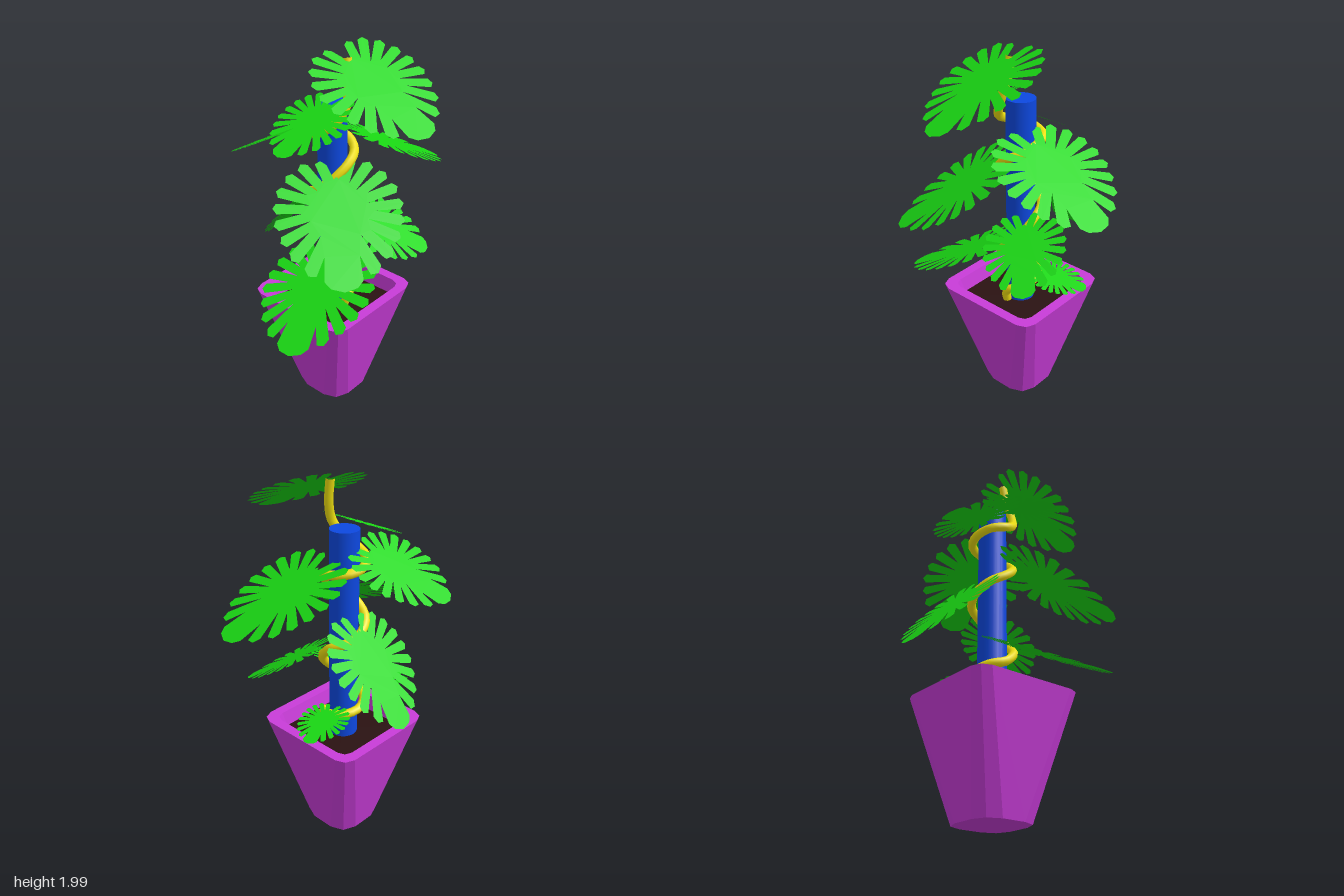
import * as THREE from 'three';

const CX = -0.055, CZ = 0.02; // axis of pot and pole
const mat = (color, extra = {}) => new THREE.MeshStandardMaterial({ color, ...extra });

function add(parent, name, geometry, material) {
  const mesh = new THREE.Mesh(geometry, material);
  mesh.name = name;
  parent.add(mesh);
  return mesh;
}

// Square ring with rounded corners: half width h, corner cut c
function squareRing(y, h, c) {
  const ring = [];
  const corner = [[h, h - c], [h - 0.29 * c, h - 0.29 * c], [h - c, h]];
  for (let k = 0; k < 4; k++) {
    for (const [x, z] of corner) {
      const [rx, rz] = [[x, z], [-z, x], [-x, -z], [z, -x]][k];
      ring.push([rx, y, rz]);
    }
  }
  return ring;
}

// Faceted skin over successive rings
function loft(rings) {
  const pos = [];
  for (let j = 0; j < rings.length - 1; j++) {
    const a = rings[j], b = rings[j + 1], n = a.length;
    for (let i = 0; i < n; i++) {
      const k = (i + 1) % n;
      pos.push(...a[i], ...b[i], ...b[k], ...a[i], ...b[k], ...a[k]);
    }
  }
  const g = new THREE.BufferGeometry();
  g.setAttribute('position', new THREE.Float32BufferAttribute(pos, 3));
  g.computeVertexNormals();
  return g;
}

// Split heart-shaped leaf, notch at the origin, tip at (0, 1)
function leafGeometry() {
  const envelope = [[0, 0.68], [30, 0.58], [60, 0.52], [90, 0.51], [120, 0.52], [150, 0.52], [172, 0.46], [180, 0.4]];
  const radius = (deg) => {
    const i = Math.max(1, envelope.findIndex(([a]) => a >= deg));
    const [a0, r0] = envelope[i - 1], [a1, r1] = envelope[i];
    return r0 + (r1 - r0) * (deg - a0) / (a1 - a0);
  };
  const point = (deg, k) => {
    const a = THREE.MathUtils.degToRad(deg), r = radius(deg) * k;
    return [Math.sin(a) * r, 0.32 + Math.cos(a) * r];
  };
  const fingers = 10, step = 174 / fingers;
  const side = [[0, 1]];
  for (let i = 0; i < fingers; i++) {
    const a = i * step;
    if (i > 0) side.push(point(a + 0.17 * step, 0.95));
    side.push(point(a + 0.5 * step, 1.01), point(a + 0.8 * step, 0.96));
    // slit between this finger and the next
    if (i < fingers - 1) side.push(point(a + 1.1 * step, i === 0 ? 0.66 : i % 2 ? 0.45 : 0.55));
  }
  const outline = [...side, [0.02, 0.03], [0, 0], [-0.02, 0.03],
    ...side.slice(1).reverse().map(([x, y]) => [-x, y])];
  return new THREE.ShapeGeometry(new THREE.Shape(outline.map(([x, y]) => new THREE.Vector2(x, y))));
}

export function createModel() {
  const model = new THREE.Group();
  model.name = 'pottedClimbingPlant';

  // Tapered pot with a thick rim
  const pot = add(model, 'pot', loft([
    squareRing(0, 0, 0), squareRing(0, 0.165, 0.1), squareRing(0.64, 0.315, 0.07),
    squareRing(0.64, 0.26, 0.05), squareRing(0.54, 0.237, 0.05),
  ]), mat(0xc83cd8, { flatShading: true }));
  pot.position.set(CX, 0, CZ);

  const soil = add(model, 'soil', loft([squareRing(0.56, 0.243, 0.05), squareRing(0.56, 0, 0)]),
    mat(0x2a1212, { flatShading: true }));
  soil.position.set(CX, 0, CZ);

  // Support pole
  const pole = add(model, 'supportPole', new THREE.CylinderGeometry(0.076, 0.076, 1.16, 20), mat(0x0d48e0));
  pole.position.set(CX, 1.13, CZ);

  // Stem winding around the pole: heights at each quarter turn (+x, -z, -x, +z)
  const heights = [0.64, 0.71, 0.74, 0.79, 0.93, 1.1, 1.18, 1.28, 1.42, 1.5, 1.53, 1.58];
  const path = [new THREE.Vector3(0.03, 0.55, 0.04)];
  heights.forEach((y, i) => {
    const a = i * Math.PI / 2;
    for (const f of [0, 0.5]) {
      const next = heights[i + 1] ?? 1.68;
      path.push(new THREE.Vector3(CX + 0.11 * Math.cos(a + f * Math.PI / 2), y + (next - y) * f,
        CZ - 0.11 * Math.sin(a + f * Math.PI / 2)));
    }
  });
  path.push(new THREE.Vector3(0.06, 1.72, 0.05), new THREE.Vector3(0.05, 1.82, 0.02), new THREE.Vector3(0.03, 1.94, 0.01));
  add(model, 'stem', new THREE.TubeGeometry(new THREE.CatmullRomCurve3(path), 84, 0.024, 8), mat(0xf0e010));

  // Leaves: notch, tip, facing direction
  const leaves = [
    [[0.03, 1.94, 0.01], [0.53, 1.69, 0.04], [0.45, 0.87, 0.17]],
    [[0.0, 1.73, 0.09], [0.0, 1.58, 0.45], [0, 0.9, 0.4]],
    [[-0.14, 1.6, 0.1], [-0.52, 1.4, 0.27], [-0.47, 0.88, 0]],
    [[-0.17, 1.22, 0.0], [-0.53, 0.82, -0.05], [-0.72, 0.68, 0.1]],
    [[0.0, 1.53, -0.1], [0.12, 1.28, -0.61], [0.1, 0.88, -0.42]],
    [[0.04, 1.37, 0.1], [0.41, 1.04, 0.46], [0.42, 0.8, 0.42]],
    [[0.0, 0.9, 0.1], [0.18, 0.64, 0.61], [0, 0.89, 0.45]],
    [[0.03, 1.08, -0.08], [0.32, 0.88, -0.32], [0.5, 0.86, -0.1]],
    [[-0.08, 0.75, -0.1], [-0.16, 0.7, -0.35], [0, 0.97, -0.2]],
  ];
  const leafShape = leafGeometry();
  const leafMat = mat(0x1ad914, { side: THREE.DoubleSide });
  leaves.forEach(([base, tip, facing], i) => {
    const b = new THREE.Vector3(...base);
    const rib = new THREE.Vector3(...tip).sub(b);
    const size = rib.length();
    rib.normalize();
    const across = new THREE.Vector3().crossVectors(rib, new THREE.Vector3(...facing)).normalize();
    const normal = new THREE.Vector3().crossVectors(across, rib);
    const leaf = add(model, `leaf${i + 1}`, leafShape, leafMat);
    leaf.quaternion.setFromRotationMatrix(new THREE.Matrix4().makeBasis(across, rib, normal));
    leaf.position.copy(b);
    leaf.scale.setScalar(size);
  });

  return model;
}
